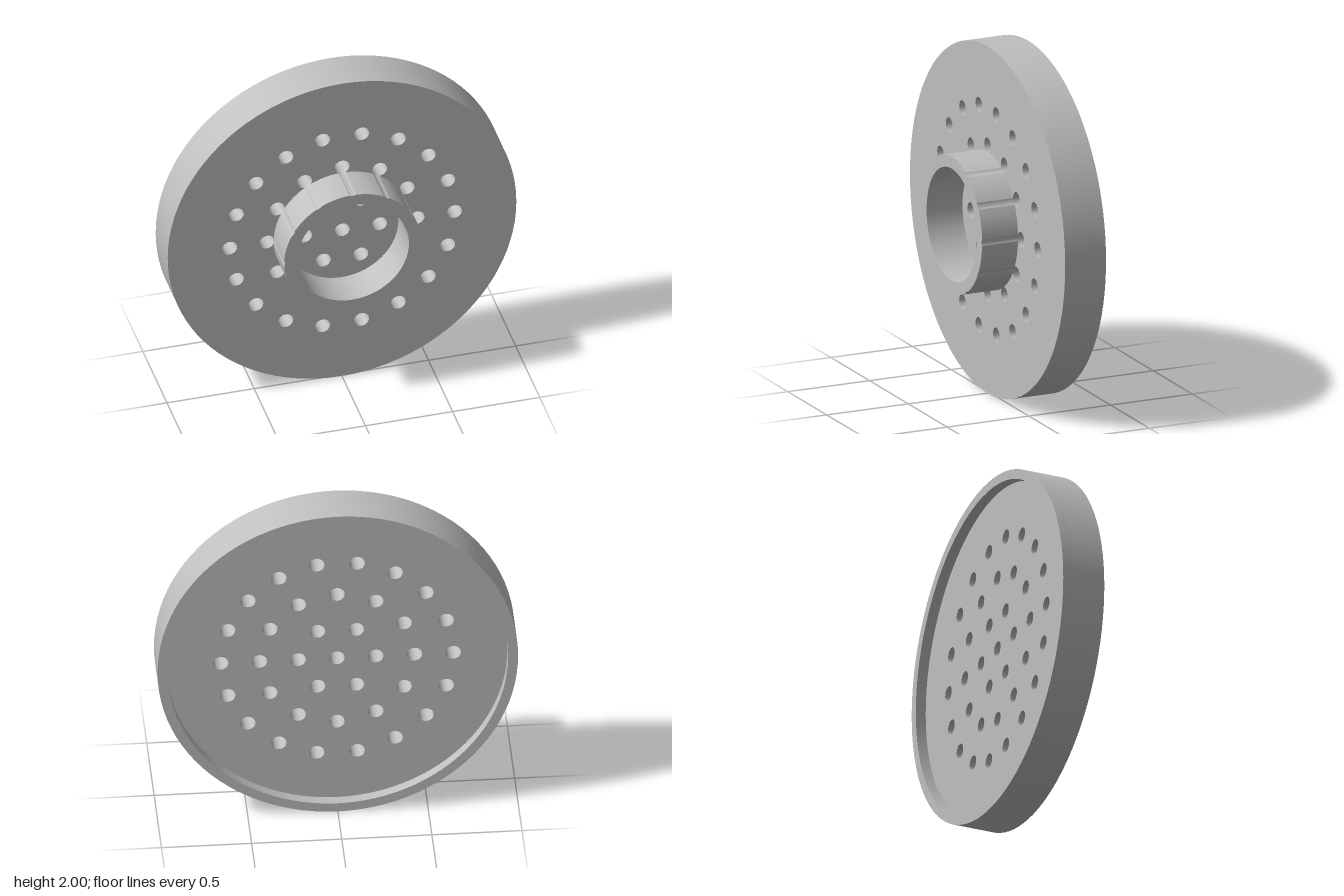
import * as THREE from 'three';
import { toCreasedNormals } from 'three/addons/utils/BufferGeometryUtils.js';

const FRONT = 0.235, FACE = 0.015, FLOOR = -0.175, BACK = -0.235;
const DISC_R = 1, RECESS_R = 0.945, COLLAR_R = 0.392, BORE_R = 0.323;
const HOLE_R = 0.043, NOTCH_RING = 0.43;

const polar = (r, a, cx = 0, cy = 0) =>
  new THREE.Vector2(cx + r * Math.cos(a), cy + r * Math.sin(a));

function circle(r, n, cx = 0, cy = 0) {
  const pts = [];
  for (let i = 0; i < n; i++) pts.push(polar(r, (i / n) * Math.PI * 2, cx, cy));
  return pts;
}

// Extrude an outline with holes between two depths, smooth on the curved walls
function slab(outline, holes, z0, z1) {
  const shape = new THREE.Shape(outline);
  shape.holes = holes.map((h) => new THREE.Path(h));
  const geo = new THREE.ExtrudeGeometry(shape, { depth: z1 - z0, bevelEnabled: false });
  geo.translate(0, 1, z0);
  return toCreasedNormals(geo, 0.32);
}

// Centre hole plus rings of 6, 12 and 18
function drainHoles() {
  const holes = [circle(HOLE_R, 24)];
  for (let ring = 1; ring <= 3; ring++) {
    for (let i = 0; i < ring * 6; i++) {
      const c = polar(0.215 * ring, (i / (ring * 6)) * Math.PI * 2);
      holes.push(circle(HOLE_R, 24, c.x, c.y));
    }
  }
  return holes;
}

// Collar outline, scalloped where the second ring of holes cuts into it
function collarOutline() {
  const d = NOTCH_RING, step = Math.PI / 6, pts = [];
  const x = (d * d + COLLAR_R ** 2 - HOLE_R ** 2) / (2 * d);
  const half = Math.acos(x / COLLAR_R);
  const sweep = Math.acos((d - x) / HOLE_R);
  for (let k = 0; k < 12; k++) {
    const a = k * step, c = polar(d, a);
    for (let i = 0; i <= 6; i++) {
      pts.push(polar(HOLE_R, a + Math.PI + sweep * (1 - i / 3), c.x, c.y));
    }
    for (let i = 1; i < 8; i++) {
      pts.push(polar(COLLAR_R, a + half + (step - 2 * half) * (i / 8)));
    }
  }
  return pts;
}

export function createModel() {
  const group = new THREE.Group();
  const grey = new THREE.MeshStandardMaterial({ color: 0xbfbfbf });
  grey.name = 'grey';
  const add = (name, geo) => {
    const mesh = new THREE.Mesh(geo, grey);
    mesh.name = name;
    group.add(mesh);
  };

  // Perforated disc, raised back rim and front collar
  add('perforatedDisc', slab(circle(DISC_R, 96), drainHoles(), FLOOR, FACE));
  add('backRim', slab(circle(DISC_R, 96), [circle(RECESS_R, 96)], BACK, FLOOR));
  add('frontCollar', slab(collarOutline(), [circle(BORE_R, 72)], FACE, FRONT));
  return group;
}
